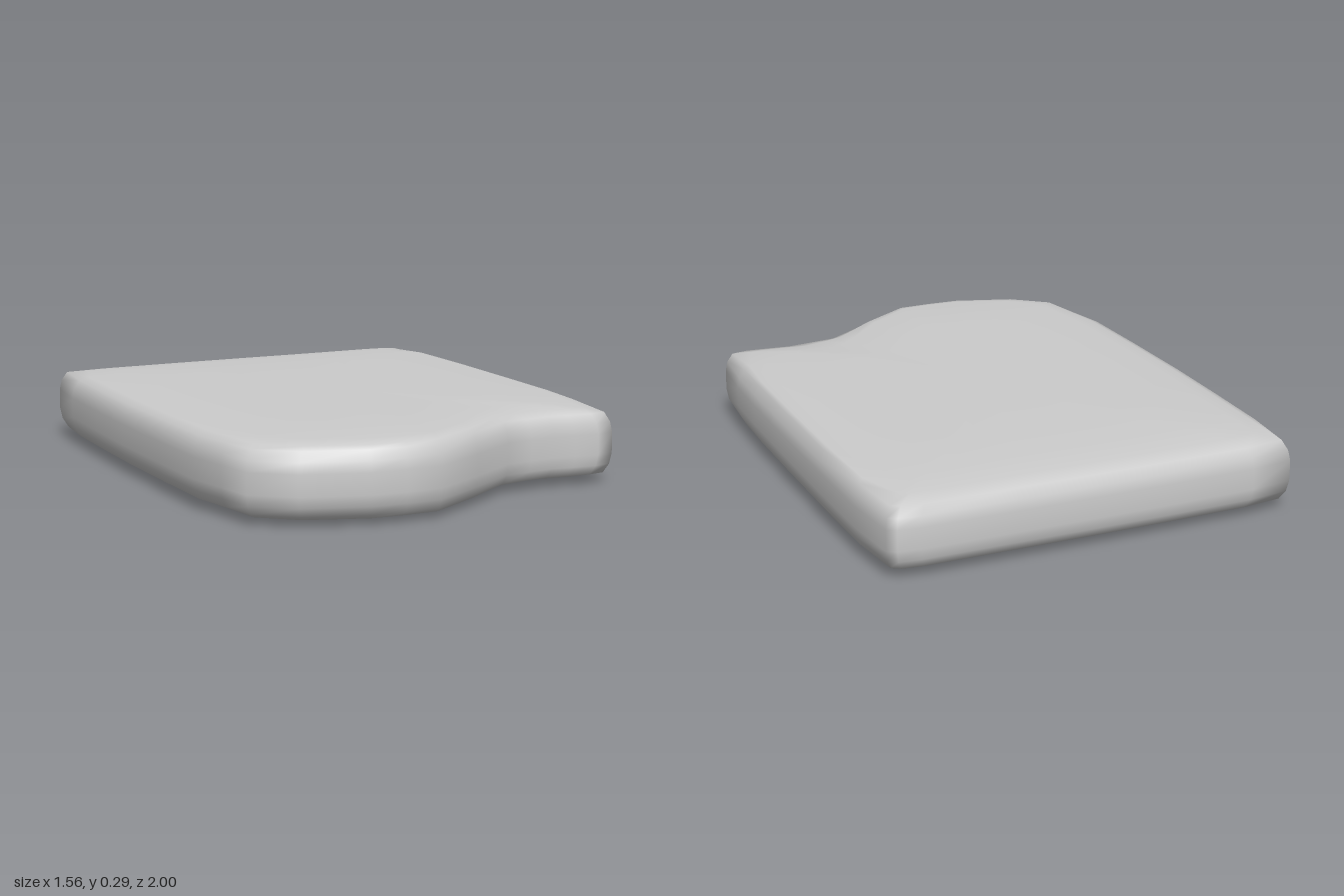
import * as THREE from 'three';

// Outline seen from above: x, z, width of the soft shoulder at that point
const OUTLINE = [
  [-0.755, -0.97, 0.21], [-0.6, -0.99, 0.22], [-0.3, -0.997, 0.22], [0, -1, 0.22], [0.3, -1, 0.22],
  [0.64, -1, 0.21], [0.72, -0.99, 0.2], [0.752, -0.97, 0.18], [0.775, -0.75, 0.09], [0.78, -0.4, 0.08],
  [0.78, 0, 0.08], [0.778, 0.3, 0.08], [0.772, 0.52, 0.1], [0.755, 0.725, 0.2], [0.69, 0.738, 0.23],
  [0.6, 0.73, 0.23], [0.52, 0.72, 0.23], [0.42, 0.732, 0.2], [0.32, 0.745, 0.15], [0.13, 0.87, 0.1],
  [-0.07, 0.99, 0.09], [-0.2, 0.995, 0.09], [-0.33, 0.99, 0.09], [-0.56, 0.92, 0.1], [-0.7, 0.815, 0.11],
  [-0.73, 0.67, 0.12], [-0.765, 0.51, 0.13], [-0.775, 0.2, 0.13], [-0.782, -0.15, 0.13],
  [-0.78, -0.45, 0.13], [-0.775, -0.75, 0.13],
];

// Rings from bottom to top: fixed inset, share of the shoulder width, height
const RINGS = [
  [0.25, 1, 0.003], [0, 1, 0.011], [0, 0.45, 0.023], [0.025, 0, 0.037], [0.007, 0, 0.07], [0, 0, 0.11],
  [0, 0, 0.185], [0.007, 0, 0.223], [0.025, 0, 0.257], [0, 0.45, 0.27], [0, 1, 0.282], [0.25, 1, 0.289],
];

function slabGeometry() {
  const n = OUTLINE.length;
  const positions = [];
  const index = [];
  for (const [inset, share, y] of RINGS) {
    for (const [x, z, shoulder] of OUTLINE) {
      const d = inset + share * shoulder;
      positions.push(x * (1 - d / 0.78), y, z * (1 - d));
    }
  }
  const bottom = RINGS.length * n;
  const top = bottom + 1;
  positions.push(0, 0, 0, 0, 0.29, 0);

  const last = (RINGS.length - 1) * n;
  for (let j = 0; j < n; j++) {
    const k = (j + 1) % n;
    // rim
    for (let r = 0; r < last; r += n) {
      index.push(r + j, r + n + j, r + k, r + k, r + n + j, r + n + k);
    }
    // broad faces
    index.push(j, k, bottom, last + j, top, last + k);
  }
  const geometry = new THREE.BufferGeometry();
  geometry.setAttribute('position', new THREE.Float32BufferAttribute(positions, 3));
  geometry.setIndex(index);
  geometry.computeVertexNormals();
  return geometry;
}

export function createModel() {
  const model = new THREE.Group();
  model.name = 'model';
  const slab = new THREE.Mesh(slabGeometry(), new THREE.MeshStandardMaterial({ color: 0xcccccc }));
  slab.name = 'notchedSlab';
  model.add(slab);
  return model;
}
